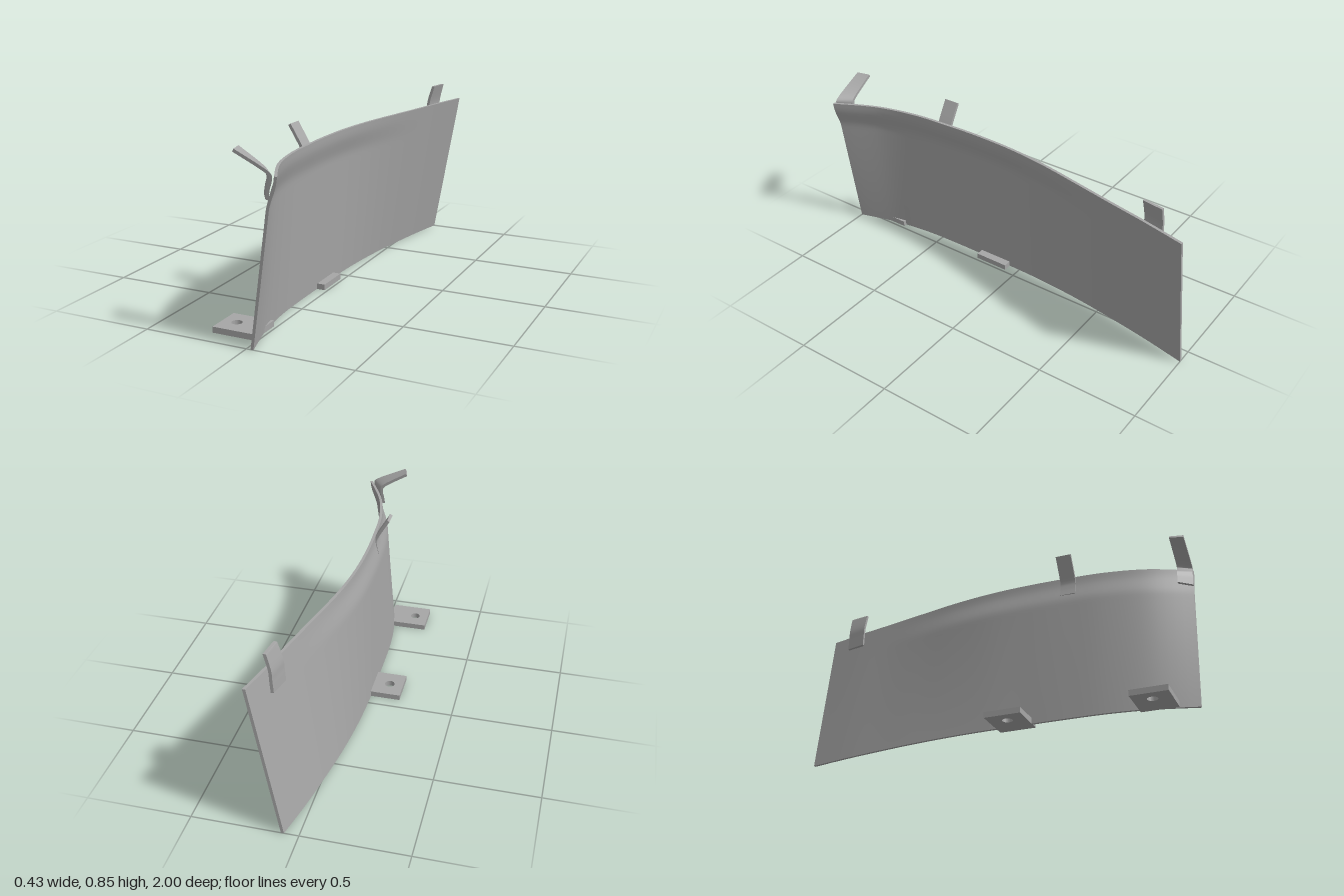
import * as THREE from 'three';
import { mergeGeometries } from 'three/addons/utils/BufferGeometryUtils.js';

// Smooth grid of faces over p(a, b), a and b in 0..1
function patch(p, na, nb) {
  const pos = [], idx = [];
  for (let j = 0; j <= nb; j++)
    for (let i = 0; i <= na; i++) pos.push(...p(i / na, j / nb));
  for (let j = 0; j < nb; j++)
    for (let i = 0; i < na; i++) {
      const a = j * (na + 1) + i, c = a + na + 1;
      idx.push(a, a + 1, c + 1, a, c + 1, c);
    }
  const g = new THREE.BufferGeometry();
  g.setAttribute('position', new THREE.Float32BufferAttribute(pos, 3));
  g.setIndex(idx);
  g.computeVertexNormals();
  return g;
}

// Closed sheet f(u, v, w): u along z, v upwards, w through the thickness towards -x
function sheet(f, nu, nv) {
  return mergeGeometries([
    patch((u, v) => f(u, v, 1), nu, nv),
    patch((v, u) => f(u, v, 0), nv, nu),
    patch((v, w) => f(1, v, w), nv, 1),
    patch((w, v) => f(0, v, w), 1, nv),
    patch((w, u) => f(u, 1, w), 1, nu),
    patch((u, w) => f(u, 0, w), nu, 1),
  ]);
}

const spline = (pts) => new THREE.SplineCurve(pts.map(([x, y]) => new THREE.Vector2(x, y)));
const alongZ = (xs) => spline(xs.map((x, i) => [-1 + (2 * i) / (xs.length - 1), x]));

const HEIGHT = 0.755, THICK = 0.014;

export function createModel() {
  const group = new THREE.Group();
  const grey = new THREE.MeshStandardMaterial({ color: 0xa6a6a6 });
  grey.name = 'grey';
  const add = (name, geometry) => {
    const m = new THREE.Mesh(geometry, grey);
    m.name = name;
    group.add(m);
    return m;
  };

  // Curved panel: plan curves of the bottom and top edges, with a stepped lip near the top
  const bottom = alongZ([0.068, 0.025, -0.01, -0.04, -0.06, -0.07, -0.07, -0.07, -0.063, -0.035, 0.02]);
  const top = alongZ([0.2, 0.152, 0.11, 0.066, 0.024, -0.004, -0.014, -0.01, 0.005, 0.052, 0.147]);
  const { smoothstep, lerp } = THREE.MathUtils;
  add('panel', sheet((u, v, w) => {
    const b = bottom.getPoint(u), t = top.getPoint(u), y = v * HEIGHT;
    const lip = 0.02 * smoothstep(b.x, -0.7, 0.1);
    const x = lerp(b.y, t.y - lip, v) + lip * smoothstep(y, 0.61, 0.73);
    return [x + THICK * (1 - w), y, b.x];
  }, 60, 40));

  // Bent clips on the top edge: one profile at each side of the strip
  function clip(name, z0, z1, back, front) {
    const curves = [spline(back), spline(front)];
    add(name, sheet((u, v, w) => {
      const [p, q] = curves.map((c) => {
        const t = c.getTangent(v);
        return c.getPoint(v).add(new THREE.Vector2(-t.y, t.x).multiplyScalar(THICK * w));
      });
      p.lerp(q, u);
      return [p.x, Math.min(p.y, 0.85), lerp(z0, z1, u)];
    }, 1, 24));
  }
  clip('frontClip', 0.935, 1,
    [[0.076, 0.66], [0.083, 0.7], [0.09, 0.735], [0.07, 0.775], [-0.05, 0.85]],
    [[0.12, 0.655], [0.127, 0.7], [0.137, 0.74], [0.12, 0.775], [-0.035, 0.85]]);
  const mid = [[-0.018, 0.652], [-0.008, 0.69], [-0.004, 0.725], [-0.015, 0.757], [-0.07, 0.85]];
  clip('middleClip', 0.38, 0.455, mid, mid);
  clip('backClip', -0.875, -0.775,
    [[0.138, 0.66], [0.142, 0.72], [0.145, 0.77], [0.164, 0.85]],
    [[0.116, 0.66], [0.12, 0.72], [0.125, 0.77], [0.149, 0.85]]);

  // Flat mounting feet with a bolt hole
  const foot = new THREE.Shape();
  foot.moveTo(-0.22, -0.088).lineTo(-0.015, -0.088).lineTo(-0.015, 0.088).lineTo(-0.22, 0.088);
  foot.closePath();
  foot.holes.push(new THREE.Path().absarc(-0.15, 0, 0.025, 0, Math.PI * 2, true));
  const footGeometry = new THREE.ExtrudeGeometry(foot, { depth: 0.028, bevelEnabled: false, curveSegments: 24 });
  footGeometry.rotateX(-Math.PI / 2);
  add('middleFoot', footGeometry).position.z = 0.148;
  add('frontFoot', footGeometry).position.z = 0.824;

  return group;
}
